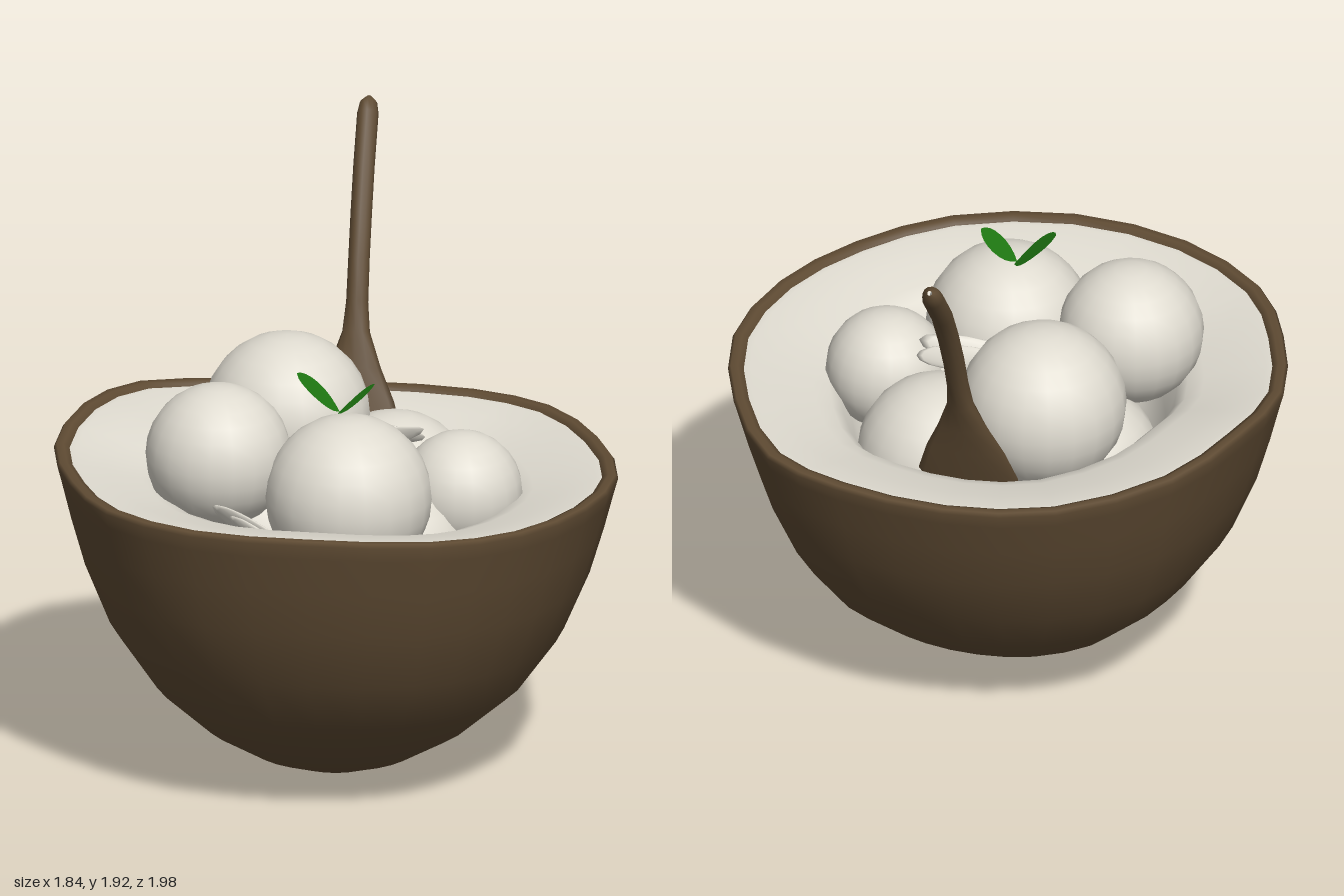
import * as THREE from 'three';

const brown = new THREE.MeshStandardMaterial({ color: 0x5f4b33 });
brown.name = 'shell brown';
const white = new THREE.MeshStandardMaterial({ color: 0xdfdbd0 });
white.name = 'cream white';
const green = new THREE.MeshStandardMaterial({ color: 0x1f7a12, side: THREE.DoubleSide });
green.name = 'leaf green';

// Skin a list of closed rings of points
function loft(rings) {
  const n = rings[0].length, index = [];
  for (let i = 0; i < rings.length - 1; i++) {
    for (let j = 0; j < n; j++) {
      const a = i * n + j, b = i * n + (j + 1) % n;
      index.push(a, b, a + n, b, b + n, a + n);
    }
  }
  const geo = new THREE.BufferGeometry().setFromPoints(rings.flat());
  geo.setIndex(index);
  geo.computeVertexNormals();
  return geo;
}

function add(parent, name, geo, mat) {
  const mesh = new THREE.Mesh(geo, mat);
  mesh.name = name;
  parent.add(mesh);
  return mesh;
}

// Wavy, uneven rim of the shell, from +x round through +z
const rim = new THREE.CatmullRomCurve3([
  [0.92, 1.01, 0.07], [0.855, 1.015, 0.42], [0.675, 1.02, 0.71], [0.4, 1.04, 0.915],
  [0, 1.06, 0.99], [-0.39, 1.055, 0.92], [-0.685, 1.05, 0.71], [-0.83, 1.05, 0.435],
  [-0.92, 1.055, 0.07], [-0.865, 1.08, -0.265], [-0.71, 1.06, -0.565], [-0.37, 1.01, -0.77],
  [0, 0.995, -0.825], [0.37, 1.0, -0.77], [0.63, 1.0, -0.635], [0.82, 1.005, -0.32],
].map(p => new THREE.Vector3(...p)), true).getPoints(32).slice(0, 32);

// Rings are the rim shrunk toward the centre line; pairs are [scale, height]
function shellRings(profile) {
  return profile.map(([s, h]) => {
    const cz = 0.11 - 0.03 * h;
    return rim.map(p => new THREE.Vector3(p.x * s, p.y * h, cz + (p.z - 0.08) * s));
  });
}

// Spoon: [y, z, half width, half thickness] from tip to bowl
function spoonGeometry() {
  const path = [
    [1.913, -0.985, 0.008, 0.008], [1.9, -0.968, 0.028, 0.026], [1.87, -0.945, 0.035, 0.034],
    [1.73, -0.82, 0.035, 0.035], [1.6, -0.735, 0.035, 0.035], [1.465, -0.66, 0.035, 0.036],
    [1.34, -0.605, 0.036, 0.035], [1.25, -0.57, 0.045, 0.032], [1.14, -0.53, 0.085, 0.028],
    [1.04, -0.5, 0.13, 0.026], [0.93, -0.465, 0.165, 0.024], [0.82, -0.43, 0.16, 0.022],
    [0.72, -0.39, 0.1, 0.02], [0.68, -0.37, 0.01, 0.008],
  ];
  return loft(path.map(([y, z, w, d], i) => {
    const a = path[Math.max(i - 1, 0)], b = path[Math.min(i + 1, path.length - 1)];
    const len = Math.hypot(b[0] - a[0], b[1] - a[1]);
    const ty = (b[0] - a[0]) / len, tz = (b[1] - a[1]) / len;
    return Array.from({ length: 12 }, (_, k) => {
      const t = k / 12 * Math.PI * 2, c = Math.cos(t) * w, s = Math.sin(t) * d;
      return new THREE.Vector3(c, y + tz * s, z - ty * s);
    });
  }));
}

// Leaf running along +x, curling upward toward its tip
function leafGeometry(length, width) {
  const shape = new THREE.Shape();
  shape.moveTo(0, 0);
  shape.bezierCurveTo(length * 0.25, width * 0.75, length * 0.9, width * 0.7, length, 0);
  shape.bezierCurveTo(length * 0.9, -width * 0.7, length * 0.25, -width * 0.75, 0, 0);
  const geo = new THREE.ShapeGeometry(shape, 8);
  geo.rotateX(-Math.PI / 2);
  const pos = geo.attributes.position;
  for (let i = 0; i < pos.count; i++) {
    const u = pos.getX(i) / length;
    pos.setY(i, 0.03 * u * (u - 1) + pos.getZ(i) * pos.getZ(i) * 2);
  }
  geo.computeVertexNormals();
  return geo;
}

export function createModel() {
  const model = new THREE.Group();
  model.name = 'coconutBowlDessert';

  // Shell with a rounded rim
  add(model, 'shell', loft(shellRings([
    [0.94, 0.965], [0.945, 0.992], [0.965, 1], [0.99, 1], [1, 0.988], [0.985, 0.94], [0.95, 0.82],
    [0.9, 0.67], [0.81, 0.48], [0.67, 0.305], [0.49, 0.165], [0.3, 0.065], [0.14, 0.012], [0, 0],
  ])), brown);

  // Flesh lining with a hollow in the middle
  add(model, 'flesh', loft(shellRings([
    [0, 0.45], [0.3, 0.48], [0.48, 0.62], [0.56, 0.8], [0.6, 0.89], [0.64, 0.925],
    [0.7, 0.945], [0.82, 0.97], [0.92, 0.988], [0.955, 0.985],
  ])), white);

  // Scoops: x, y, z, radius
  const scoops = new THREE.Group();
  scoops.name = 'scoops';
  model.add(scoops);
  [
    [-0.19, 1.08, -0.225, 0.272], [0.16, 0.83, -0.21, 0.27], [0.41, 0.945, 0.09, 0.2],
    [-0.365, 1.098, 0.255, 0.237], [0.07, 1.005, 0.36, 0.272],
    [0.2, 0.76, 0.18, 0.26], [-0.26, 0.74, 0.0, 0.26],
  ].forEach(([x, y, z, r]) => {
    add(scoops, 'scoop', new THREE.SphereGeometry(r, 20, 14), white).position.set(x, y, z);
  });

  // Thin shavings stretched between two points, with a width
  const shavings = new THREE.Group();
  shavings.name = 'shavings';
  model.add(shavings);
  [
    [[-0.32, 0.98, 0.08], [0.2, 1.1, 0.04], 0.05],
    [[-0.15, 1.02, 0.06], [0.28, 1.12, 0.0], 0.05],
    [[0.0, 1.1, -0.03], [0.28, 1.08, -0.035], 0.04],
    [[-0.36, 1.0, 0.49], [-0.08, 0.88, 0.6], 0.05],
    [[-0.3, 0.98, 0.53], [-0.08, 0.87, 0.63], 0.04],
  ].forEach(([from, to, width]) => {
    const a = new THREE.Vector3(...from), b = new THREE.Vector3(...to);
    const geo = new THREE.SphereGeometry(1, 12, 8).scale(0.011, width, a.distanceTo(b) / 2);
    const mesh = add(shavings, 'shaving', geo, white);
    mesh.position.copy(a).add(b).multiplyScalar(0.5);
    mesh.lookAt(b);
    mesh.rotateZ(0.45);
  });

  // Spoon stuck in at the back
  add(model, 'spoon', spoonGeometry(), brown);

  // Pair of leaves on the front scoop
  const leftLeaf = add(model, 'leftLeaf', leafGeometry(0.16, 0.1), green);
  leftLeaf.position.set(0.03, 1.27, 0.31);
  leftLeaf.rotation.set(0, 0, 0.72);
  const rightLeaf = add(model, 'rightLeaf', leafGeometry(0.19, 0.13), green);
  rightLeaf.position.set(0.035, 1.27, 0.29);
  rightLeaf.rotation.set(0, Math.PI, 0.74);

  return model;
}
